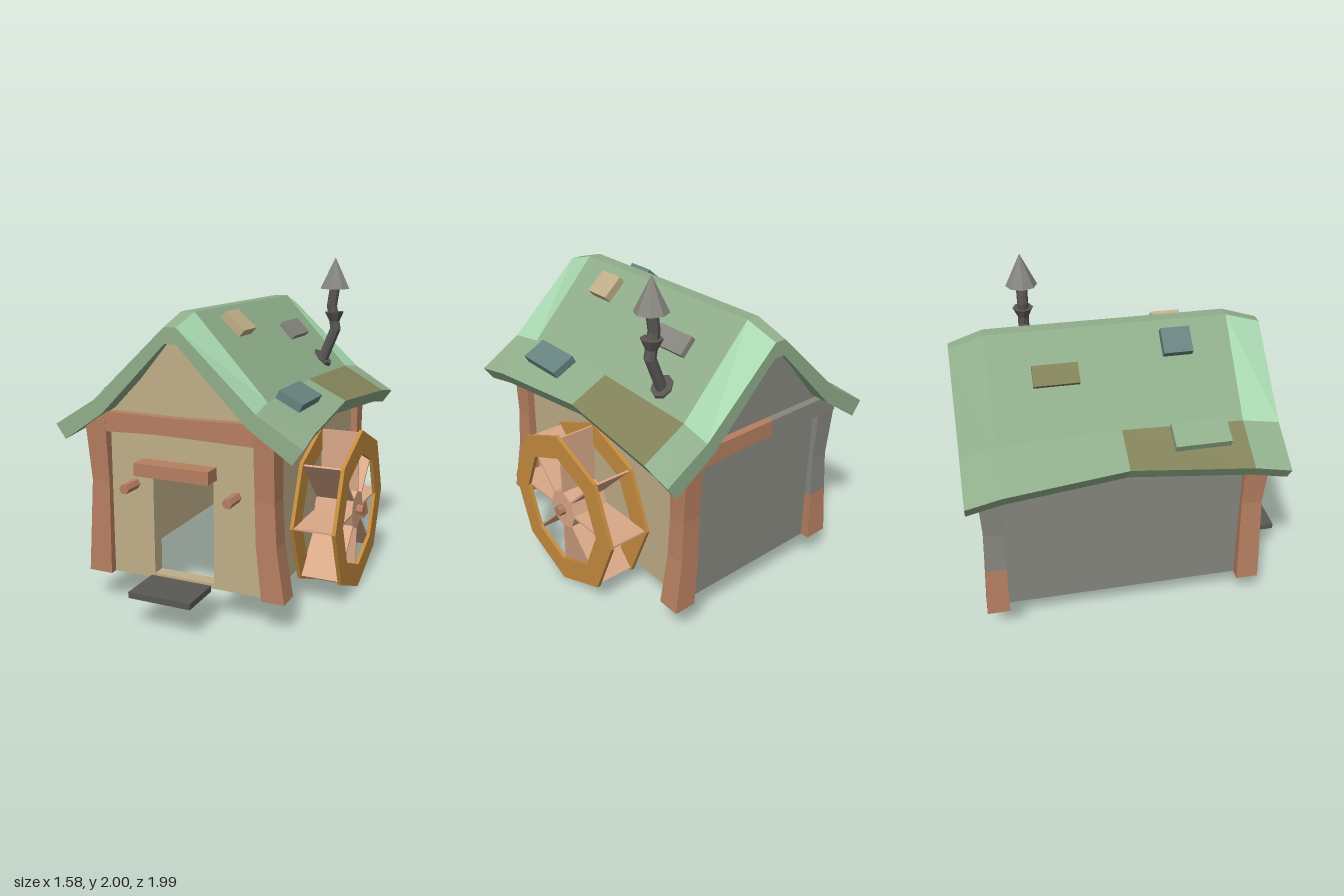
import * as THREE from 'three';

const mat = (name, color) => Object.assign(new THREE.MeshStandardMaterial({ color }), { name });

export function createModel() {
  const M = {
    tan: mat('plaster', 0xc0ae88), wood: mat('timber', 0xb67f61), gray: mat('stone gray', 0x878680),
    green: mat('roof green', 0x90ae8b), mint: mat('roof mint', 0xa8d8b0), olive: mat('roof olive', 0x83835a),
    orange: mat('wheel orange', 0xc68c3e), pale: mat('pale wood', 0xd9a888),
    iron: mat('dark iron', 0x5a5855), slate: mat('slate', 0x67837f),
  };
  const model = new THREE.Group();
  const CX = -0.04; // centre line of the roof

  function add(name, geo, material, x = 0, y = 0, z = 0, parent = model) {
    let g = geo.index ? geo.toNonIndexed() : geo;
    g.computeVertexNormals(); // flat facets
    const m = new THREE.Mesh(g, material);
    m.name = name;
    m.position.set(x, y, z);
    parent.add(m);
    return m;
  }
  // box from its limits
  const box = (name, material, x0, x1, y0, y1, z0, z1, parent) =>
    add(name, new THREE.BoxGeometry(x1 - x0, y1 - y0, z1 - z0), material,
      (x0 + x1) / 2, (y0 + y1) / 2, (z0 + z1) / 2, parent);
  const outline = pts => new THREE.Shape(pts.map(p => new THREE.Vector2(...p)));
  const slab = (name, material, shape, z0, z1) =>
    add(name, new THREE.ExtrudeGeometry(shape, { depth: z1 - z0, bevelEnabled: false }), material, 0, 0, z0);

  // ---- walls, open underneath
  const gable = () => outline([[-0.58, 0.19], [0.48, 0.19], [0.48, 1.14], [0.4, 1.21],
    [0, 1.65], [-0.08, 1.65], [-0.48, 1.21], [-0.58, 1.14]]);
  const front = gable();
  front.holes.push(new THREE.Path([[-0.23, 0.22], [-0.23, 0.81], [0.15, 0.81], [0.15, 0.22]]
    .map(p => new THREE.Vector2(...p))));
  slab('frontWall', M.tan, front, 0.62, 0.7);
  slab('backWall', M.gray, gable(), -0.88, -0.82);
  slab('backWallLining', M.tan, gable(), -0.82, -0.812);
  box('leftWall', M.tan, 0.41, 0.48, 0.19, 1.17, -0.812, 0.62);
  box('rightWall', M.gray, -0.58, -0.52, 0.19, 1.17, -0.82, 0.62);
  box('rightWallLining', M.tan, -0.52, -0.512, 0.19, 1.14, -0.812, 0.62);

  // ---- bent corner posts: levels are [y, x0, x1, z0, z1]
  function post(name, material, levels) {
    const n = levels.length - 1;
    const g = new THREE.BoxGeometry(1, 1, 1, 1, n, 1);
    const p = g.attributes.position;
    for (let i = 0; i < p.count; i++) {
      const [y, x0, x1, z0, z1] = levels[Math.round((p.getY(i) + 0.5) * n)];
      p.setXYZ(i, p.getX(i) < 0 ? x0 : x1, y, p.getZ(i) < 0 ? z0 : z1);
    }
    add(name, g, material);
  }
  const ys = [0.19, 0.5, 0.75, 1.12];
  const leftX = [[0.455, 0.59], [0.42, 0.54], [0.41, 0.525], [0.41, 0.525]];
  const rightX = [[-0.65, -0.5], [-0.63, -0.5], [-0.615, -0.5], [-0.635, -0.5]];
  const frontZ = [[0.61, 0.745], [0.61, 0.74], [0.61, 0.735], [0.61, 0.76]];
  const backZ = [[-0.935, -0.8], [-0.92, -0.8], [-0.91, -0.8], [-0.925, -0.79]];
  const levels = (xs, zs) => ys.map((y, i) => [y, ...xs[i], ...zs[i]]);
  post('frontLeftPost', M.wood, levels(leftX, frontZ));
  post('frontRightPost', M.wood, levels(rightX, frontZ));
  post('backLeftPost', M.wood, levels(leftX, backZ));
  const corner = levels(rightX, backZ);
  post('backRightPostFoot', M.wood, corner.slice(0, 2));
  post('backRightPost', M.gray, corner.slice(1));

  // ---- slightly arched beams under the gables
  const beam = (a, b, ya, yb) => outline([[a, ya], [b, yb], [b, 1.16], [a, 1.16]]);
  slab('frontBeam', M.wood, outline([[-0.635, 1.05], [-0.17, 1.065], [0.07, 1.06], [0.525, 1.05],
    [0.525, 1.15], [0.39, 1.175], [-0.05, 1.165], [-0.47, 1.17], [-0.635, 1.13]]), 0.62, 0.755);
  slab('backBeam', M.wood, beam(-0.1, 0.525, 1.065, 1.05), -0.925, -0.8);
  slab('backBeamGray', M.gray, beam(-0.635, -0.1, 1.05, 1.065), -0.925, -0.8);

  // ---- sagging roof: [z, eave half width, eave y, knee half width, knee y, ridge half width, ridge y]
  const stations = [
    [0.82, 0.75, 1.085, 0.49, 1.245, 0.035, 1.67],
    [0.61, 0.735, 1.12, 0.47, 1.27, 0.04, 1.735],
    [-0.09, 0.69, 1.17, 0.455, 1.285, 0.04, 1.735],
    [-0.79, 0.735, 1.12, 0.47, 1.27, 0.04, 1.735],
    [-0.99, 0.75, 1.085, 0.49, 1.245, 0.035, 1.67],
  ];
  const loops = stations.map(([z, ew, ey, kw, ky, rw, ry]) => {
    const half = [[ew, ey], [kw, ky], [rw, ry]];
    const under = [[ew - 0.06, ey - 0.085], [kw - 0.05, ky - 0.075], [rw, ry - 0.09]];
    const side = (h, s) => h.map(([w, y]) => [CX + s * w, y, z]);
    return [...side(half, -1), ...side(half, 1).reverse(), ...side(under, 1), ...side(under, -1).reverse()];
  });
  const faces = { green: [], mint: [], olive: [] };
  const quad = (c, a, b, d, e) => faces[c].push(...a, ...b, ...d, ...a, ...d, ...e);
  const painted = { '0,1': 'mint', '0,3': 'mint', '3,3': 'mint', '1,0': 'olive', '2,4': 'olive' };
  for (let s = 0; s < 4; s++) {
    for (let i = 0; i < 12; i++) {
      const j = (i + 1) % 12;
      quad(painted[`${s},${i}`] || 'green', loops[s][i], loops[s][j], loops[s + 1][j], loops[s + 1][i]);
    }
  }
  for (let i = 0; i < 5; i++) { // end faces
    const f = loops[0], b = loops[4];
    quad('green', f[i], f[11 - i], f[10 - i], f[i + 1]);
    quad('green', b[i], b[i + 1], b[10 - i], b[11 - i]);
  }
  for (const c in faces) {
    const g = new THREE.BufferGeometry();
    g.setAttribute('position', new THREE.Float32BufferAttribute(faces[c], 3));
    add(`roof ${c}`, g, M[c]);
  }

  // ---- loose shingles: material, side, half distance, y, z, width, length, tilt
  [
    [M.tan, 1, 0.155, 1.65, 0.285, 0.155, 0.17, 0.72],
    [M.slate, -1, 0.155, 1.65, 0.285, 0.155, 0.17, 0.72],
    [M.gray, 1, 0.23, 1.545, -0.42, 0.12, 0.26, 0.8],
    [M.olive, -1, 0.23, 1.545, -0.42, 0.12, 0.26, 0.8],
    [M.slate, 1, 0.55, 1.262, 0.34, 0.155, 0.32, 0.47],
    [M.green, -1, 0.55, 1.262, 0.34, 0.155, 0.32, 0.47],
  ].forEach(([m, s, h, y, z, w, len, tilt]) => {
    add('shingle', new THREE.BoxGeometry(w, 0.05, len), m, CX + s * h, y, z).rotation.z = -s * tilt;
  });

  // ---- crooked chimney pipe
  const CZ = -0.525;
  function pipe(name, m, x0, y0, x1, y1, r0, r1) {
    const len = Math.hypot(x1 - x0, y1 - y0);
    add(name, new THREE.CylinderGeometry(r1, r0, len, 8), m, (x0 + x1) / 2, (y0 + y1) / 2, CZ)
      .rotation.z = -Math.atan2(x1 - x0, y1 - y0);
  }
  pipe('chimneyFlange', M.iron, 0.325, 1.325, 0.358, 1.365, 0.08, 0.07);
  pipe('chimneyLower', M.iron, 0.345, 1.32, 0.44, 1.555, 0.034, 0.034);
  pipe('chimneyMiddle', M.iron, 0.44, 1.54, 0.41, 1.7, 0.034, 0.034);
  pipe('chimneyUpper', M.iron, 0.41, 1.69, 0.43, 1.83, 0.034, 0.034);
  pipe('chimneyCollar', M.iron, 0.43, 1.59, 0.427, 1.658, 0.03, 0.063);
  pipe('chimneyCap', M.gray, 0.428, 1.805, 0.428, 2, 0.096, 0.001);

  // ---- water wheel
  const wheel = new THREE.Group();
  wheel.name = 'waterWheel';
  wheel.position.set(0, 0.5, -0.085);
  model.add(wheel);
  const octagon = r => Array.from({ length: 8 }, (_, i) =>
    new THREE.Vector2(r * Math.cos(i * Math.PI / 4), r * Math.sin(i * Math.PI / 4)));
  for (const x of [0.492, 0.742]) {
    const ring = new THREE.Shape(octagon(0.5));
    ring.holes.push(new THREE.Path(octagon(0.355)));
    add('rim', new THREE.ExtrudeGeometry(ring, { depth: 0.022, bevelEnabled: false }), M.orange, x, 0, 0, wheel)
      .rotation.y = Math.PI / 2;
  }
  for (let i = 0; i < 8; i++) {
    const g = new THREE.BoxGeometry(0.235, 0.39, 0.012);
    g.translate(0.628, 0.29, 0);
    add('paddle', g, M.pale, 0, 0, 0, wheel).rotation.x = i * Math.PI / 4;
  }
  const hub = (name, r, x0, x1, m) => {
    const g = new THREE.CylinderGeometry(r, r, x1 - x0, 8);
    g.rotateZ(Math.PI / 2);
    add(name, g, m, (x0 + x1) / 2, 0, 0, wheel);
  };
  hub('hub', 0.12, 0.51, 0.745, M.pale);
  hub('axle', 0.032, 0.46, 0.785, M.wood);

  // ---- entrance
  box('doorStep', M.iron, -0.23, 0.15, 0.19, 0.225, 0.74, 1);
  box('doorBoard', M.wood, -0.29, 0.17, 0.83, 0.905, 0.69, 0.81);
  for (const x of [-0.345, 0.29]) {
    const g = new THREE.CylinderGeometry(0.03, 0.03, 0.14, 6);
    g.rotateX(Math.PI / 2);
    g.rotateZ(Math.PI / 6);
    add('wallPeg', g, M.wood, x, 0.75, 0.76);
  }
  return model;
}
